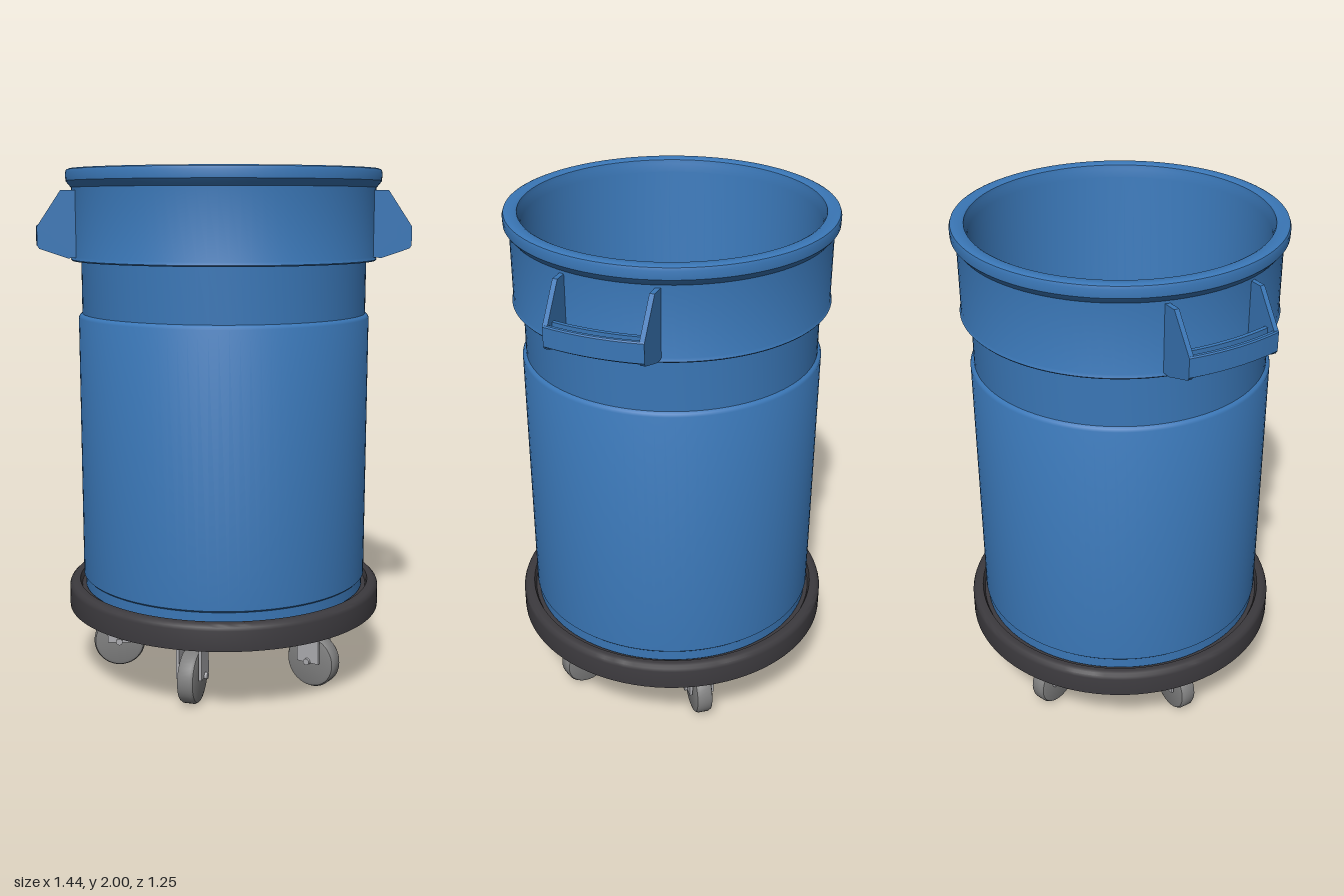
import * as THREE from 'three';
import { toCreasedNormals } from 'three/addons/utils/BufferGeometryUtils.js';

const material = (name, color) => {
  const m = new THREE.MeshStandardMaterial({ color });
  m.name = name;
  return m;
};

export function createModel() {
  const blue = material('blue plastic', 0x3a77b7);
  const dark = material('dark plastic', 0x3c3a3e);
  const rubber = material('grey rubber', 0x808080);
  const steel = material('light steel', 0xacacb0);

  const model = new THREE.Group();
  model.name = 'wheeledBin';

  const add = (parent, name, geometry, mat, x = 0, y = 0, z = 0) => {
    const mesh = new THREE.Mesh(geometry, mat);
    mesh.name = name;
    mesh.position.set(x, y, z);
    parent.add(mesh);
    return mesh;
  };
  const lathe = (points, segments = 96) => toCreasedNormals(
    new THREE.LatheGeometry(points.map(([r, y]) => new THREE.Vector2(r, y)), segments), 0.6);
  const outline = (points) => new THREE.Shape(points.map(([x, y]) => new THREE.Vector2(x, y)));

  // Bin: up the outside, over the rim, down the inside to the floor
  add(model, 'bin', lathe([
    [0, 0.355], [0.55, 0.355], [0.56, 0.365], [0.56, 0.405], [0.567, 0.412],
    [0.567, 1.437], [0.562, 1.446], [0.553, 1.452], [0.553, 1.655],
    [0.588, 1.655], [0.592, 1.66], [0.587, 1.672], [0.587, 1.93],
    [0.598, 1.943], [0.607, 1.955], [0.608, 1.985], [0.604, 1.996], [0.595, 2],
    [0.565, 2], [0.556, 1.995], [0.553, 1.98], [0.545, 1.95],
    [0.54, 0.44], [0.532, 0.415], [0.51, 0.4], [0, 0.4],
  ]), blue);

  // Slot in the bin floor
  add(model, 'floorSlot', new THREE.BoxGeometry(0.23, 0.008, 0.06), dark, 0, 0.402, 0);

  // Round dolly with a raised lip around the bin
  add(model, 'dolly', lathe([
    [0, 0.28], [0.625, 0.28], [0.625, 0.358], [0.621, 0.37], [0.612, 0.379],
    [0.6, 0.382], [0.583, 0.38], [0.575, 0.36], [0, 0.36],
  ]), dark);

  // Handles: two side brackets joined by a bowed channel grip
  const halfWidth = 0.18;
  const bracketShape = outline([
    [0.55, 1.67], [0.59, 1.668], [0.695, 1.703], [0.703, 1.715],
    [0.703, 1.785], [0.612, 1.92], [0.55, 1.92],
  ]);
  const gripShape = outline([
    [0.662, 1.697], [0.705, 1.705], [0.721, 1.715], [0.721, 1.785], [0.717, 1.79],
    [0.706, 1.79], [0.706, 1.755], [0.68, 1.755], [0.68, 1.79], [0.665, 1.79],
  ]);
  const bracketGeometry = new THREE.ExtrudeGeometry(bracketShape, { depth: 0.018, bevelEnabled: false });
  let gripGeometry = new THREE.ExtrudeGeometry(gripShape, { depth: 2 * halfWidth, steps: 16, bevelEnabled: false });
  gripGeometry.translate(0, 0, -halfWidth);
  const p = gripGeometry.attributes.position;
  for (let i = 0; i < p.count; i++) {
    p.setX(i, p.getX(i) - 0.018 * (p.getZ(i) / halfWidth) ** 2);
  }
  gripGeometry = toCreasedNormals(gripGeometry, 0.5);
  for (const side of [1, -1]) {
    const handle = new THREE.Group();
    handle.name = side > 0 ? 'leftHandle' : 'rightHandle';
    handle.rotation.y = side > 0 ? 0 : Math.PI;
    add(handle, 'grip', gripGeometry, blue);
    add(handle, 'frontBracket', bracketGeometry, blue, 0, 0, halfWidth - 0.018);
    add(handle, 'backBracket', bracketGeometry, blue, 0, 0, -halfWidth);
    model.add(handle);
  }

  // Five casters in a ring, each wheel rolling radially
  const wheelGeometry = lathe([
    [0, -0.034], [0.085, -0.034], [0.098, -0.03], [0.104, -0.02],
    [0.104, 0.02], [0.098, 0.03], [0.085, 0.034], [0, 0.034],
  ], 40).rotateX(Math.PI / 2);
  const swivelGeometry = toCreasedNormals(new THREE.CylinderGeometry(0.064, 0.064, 0.03, 32), 0.6);
  const axleGeometry = toCreasedNormals(
    new THREE.CylinderGeometry(0.013, 0.013, 0.122, 16).rotateX(Math.PI / 2), 0.6);
  for (let i = 0; i < 5; i++) {
    const angle = Math.PI + i * Math.PI * 2 / 5;
    const caster = new THREE.Group();
    caster.name = `caster${i + 1}`;
    caster.position.set(0.428 * Math.cos(angle), 0, -0.428 * Math.sin(angle));
    caster.rotation.y = angle;
    add(caster, 'wheel', wheelGeometry, rubber, 0, 0.104, 0);
    add(caster, 'axle', axleGeometry, steel, 0, 0.11, 0);
    add(caster, 'swivelPlate', swivelGeometry, steel, 0, 0.266, 0);
    add(caster, 'forkTop', new THREE.BoxGeometry(0.095, 0.025, 0.1), steel, 0, 0.2425, 0);
    for (const side of [1, -1]) {
      add(caster, 'forkLeg', new THREE.BoxGeometry(0.095, 0.15, 0.012), steel, 0, 0.18, side * 0.044);
    }
    model.add(caster);
  }

  return model;
}
